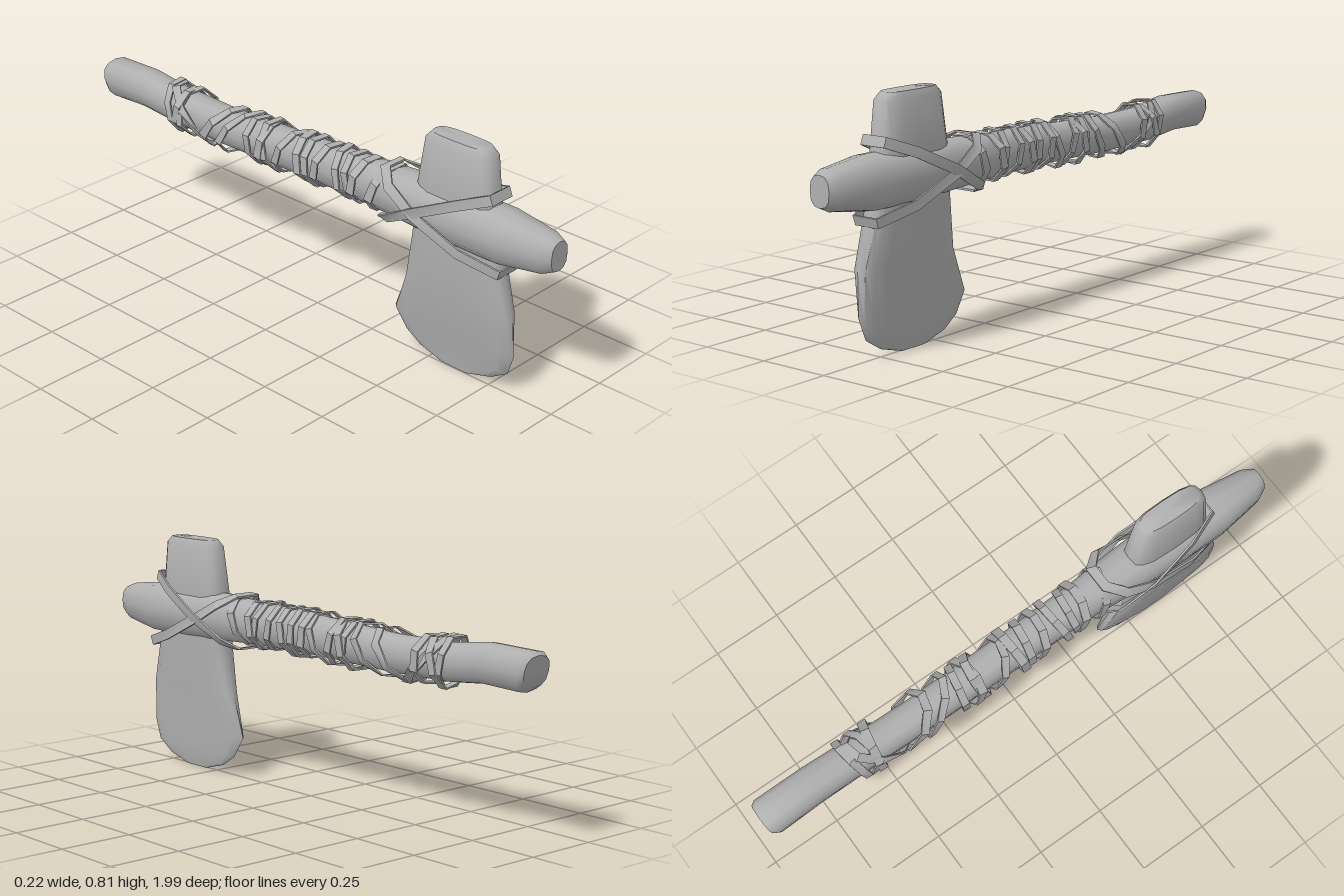
import * as THREE from 'three';
import { toCreasedNormals } from 'three/addons/utils/BufferGeometryUtils.js';

// Skin a list of cross-sections; closed joins the last section to the first
function loft(sections, closed, crease) {
  const n = sections[0].length, m = sections.length, pos = [], idx = [];
  sections.forEach(s => s.forEach(p => pos.push(p.x, p.y, p.z)));
  for (let i = 0; i < (closed ? m : m - 1); i++) {
    for (let j = 0; j < n; j++) {
      const a = i * n + j, b = i * n + (j + 1) % n;
      const c = ((i + 1) % m) * n + j, d = ((i + 1) % m) * n + (j + 1) % n;
      idx.push(a, b, c, b, d, c);
    }
  }
  if (!closed) {
    [0, m - 1].forEach(i => {
      const mid = new THREE.Vector3();
      sections[i].forEach(p => mid.addScaledVector(p, 1 / n));
      const k = pos.length / 3;
      pos.push(mid.x, mid.y, mid.z);
      for (let j = 0; j < n; j++) {
        const a = i * n + j, b = i * n + (j + 1) % n;
        if (i === 0) idx.push(k, b, a); else idx.push(k, a, b);
      }
    });
  }
  const g = new THREE.BufferGeometry();
  g.setAttribute('position', new THREE.Float32BufferAttribute(pos, 3));
  g.setIndex(idx);
  return toCreasedNormals(g, crease);
}

// Rounded-box outline in the unit square
function outline(count, power) {
  const soft = v => Math.sign(v) * Math.pow(Math.abs(v), power);
  return Array.from({ length: count }, (_, j) => {
    const t = j / count * Math.PI * 2;
    return [soft(Math.cos(t)), soft(Math.sin(t))];
  });
}

// Handle sections: z, x min, x max, y min, y max, slant of the section
const HANDLE = [
  [-0.985, -0.07, 0.04, 0.51, 0.61, -0.2],
  [-0.965, -0.08, 0.05, 0.492, 0.622, -0.25],
  [-0.8, -0.075, 0.05, 0.497, 0.626, 0],
  [-0.65, -0.07, 0.05, 0.482, 0.607, 0],
  [-0.4, -0.07, 0.047, 0.477, 0.602, 0],
  [0, -0.07, 0.05, 0.484, 0.62, 0],
  [0.25, -0.068, 0.057, 0.48, 0.63, 0],
  [0.42, -0.08, 0.072, 0.474, 0.638, 0],
  [0.6, -0.086, 0.08, 0.467, 0.641, 0],
  [0.8, -0.084, 0.077, 0.466, 0.641, 0],
  [0.96, -0.062, 0.055, 0.49, 0.622, 0],
  [0.998, -0.042, 0.036, 0.507, 0.607, 0]
];

// Head sections: y, z min, z max, x min, x max
const HEAD = [
  [0.003, 0.55, 0.66, 0.002, 0.008],
  [0.03, 0.455, 0.755, -0.001, 0.014],
  [0.07, 0.395, 0.82, -0.008, 0.018],
  [0.14, 0.353, 0.845, -0.021, 0.022],
  [0.29, 0.412, 0.838, -0.047, 0.033],
  [0.45, 0.437, 0.79, -0.053, 0.047],
  [0.63, 0.455, 0.757, -0.058, 0.055],
  [0.795, 0.48, 0.74, -0.049, 0.048],
  [0.818, 0.5, 0.718, -0.036, 0.037]
];

// Centre line of the handle at a given z
function axisAt(z) {
  let i = 0;
  while (i < HANDLE.length - 2 && HANDLE[i + 1][0] < z) i++;
  const a = HANDLE[i], b = HANDLE[i + 1];
  const t = THREE.MathUtils.clamp((z - a[0]) / (b[0] - a[0]), 0, 1);
  const mid = (lo, hi) => THREE.MathUtils.lerp((a[lo] + a[hi]) / 2, (b[lo] + b[hi]) / 2, t);
  return new THREE.Vector3(mid(1, 2), mid(3, 4), z);
}

// Flat strap following a closed path, facing away from the handle
function strap(points, width, thick) {
  const n = points.length;
  const sections = points.map((p, i) => {
    const T = points[(i + 1) % n].clone().sub(points[(i + n - 1) % n]).normalize();
    const N = p.clone().sub(axisAt(Math.min(p.z, 0.45)));
    N.addScaledVector(T, -N.dot(T)).normalize();
    const W = T.clone().cross(N);
    return [[1, 1], [-1, 1], [-1, -1], [1, -1]].map(([u, v]) =>
      p.clone().addScaledVector(N, u * thick / 2).addScaledVector(W, v * width / 2));
  });
  return loft(sections, true, 0.6);
}

export function createModel() {
  const group = new THREE.Group();
  const grey = new THREE.MeshStandardMaterial({ color: 0xb0b0b0 });
  grey.name = 'plain grey';
  const add = (geometry, name) => {
    const mesh = new THREE.Mesh(geometry, grey);
    mesh.name = name;
    group.add(mesh);
  };

  // Wooden handle lying along z
  const round = outline(12, 0.8);
  add(loft(HANDLE.map(([z, x0, x1, y0, y1, slant]) => round.map(([u, v]) =>
    new THREE.Vector3((x0 + x1) / 2 + u * (x1 - x0) / 2, (y0 + y1) / 2 + v * (y1 - y0) / 2,
      z + slant * v * (y1 - y0) / 2))), false, 0.95), 'handle');

  // Stone head set through the handle
  const slab = outline(16, 0.6);
  add(loft(HEAD.map(([y, z0, z1, x0, x1]) => slab.map(([u, v]) =>
    new THREE.Vector3((x0 + x1) / 2 + v * (x1 - x0) / 2, y, (z0 + z1) / 2 + u * (z1 - z0) / 2))),
  false, 0.95), 'stoneHead');

  // Two crossing straps around the head: half paths of x, y, z, mirrored in x
  const crossing = [
    [[0.045, 0.675, 0.765], [0.082, 0.635, 0.66], [0.104, 0.56, 0.5], [0.085, 0.49, 0.37], [0.04, 0.463, 0.325]],
    [[0.045, 0.435, 0.805], [0.085, 0.475, 0.67], [0.1, 0.55, 0.5], [0.088, 0.61, 0.39], [0.04, 0.644, 0.335]]
  ];
  crossing.forEach((half, k) => {
    const right = half.map(([x, y, z]) => new THREE.Vector3(x, y, z));
    const left = half.map(([x, y, z]) => new THREE.Vector3(-x, y, z)).reverse();
    add(strap([...right, ...left], 0.034, 0.007), 'crossStrap' + (k + 1));
  });

  // Wraps along the handle: z, lean over height, lean over width, strap width
  const wraps = [
    [0.315, 0.03, 0.01, 0.03], [0.23, 0.018, 0.006, 0.03], [0.205, -0.015, 0.01, 0.026],
    [0.15, -0.02, -0.008, 0.026], [0.07, 0.018, 0.008, 0.028], [0.025, -0.006, 0.01, 0.028],
    [-0.02, -0.012, -0.006, 0.03], [-0.09, 0.035, 0.02, 0.026], [-0.165, -0.025, 0.012, 0.028],
    [-0.2, 0.02, -0.01, 0.03], [-0.235, -0.008, 0.015, 0.026], [-0.33, 0.05, 0.04, 0.026],
    [-0.42, 0.065, 0.02, 0.03], [-0.555, -0.095, -0.02, 0.03], [-0.565, -0.01, 0.015, 0.03],
    [-0.61, 0.025, -0.015, 0.028], [-0.645, -0.02, -0.012, 0.026]
  ];
  wraps.forEach(([z, leanY, leanX, width], k) => {
    const points = [];
    for (let j = 0; j < 8; j++) {
      const t = (j + 0.5) / 8 * Math.PI * 2, c = Math.cos(t), s = Math.sin(t);
      const loose = 1 + 0.05 * Math.sin(k * 2.3 + j * 1.7);
      const p = axisAt(z + leanY * s + leanX * c);
      points.push(p.add(new THREE.Vector3(0.078 * loose * c, 0.083 * loose * s, 0)));
    }
    add(strap(points, width, 0.006), 'handleWrap' + (k + 1));
  });
  return group;
}
